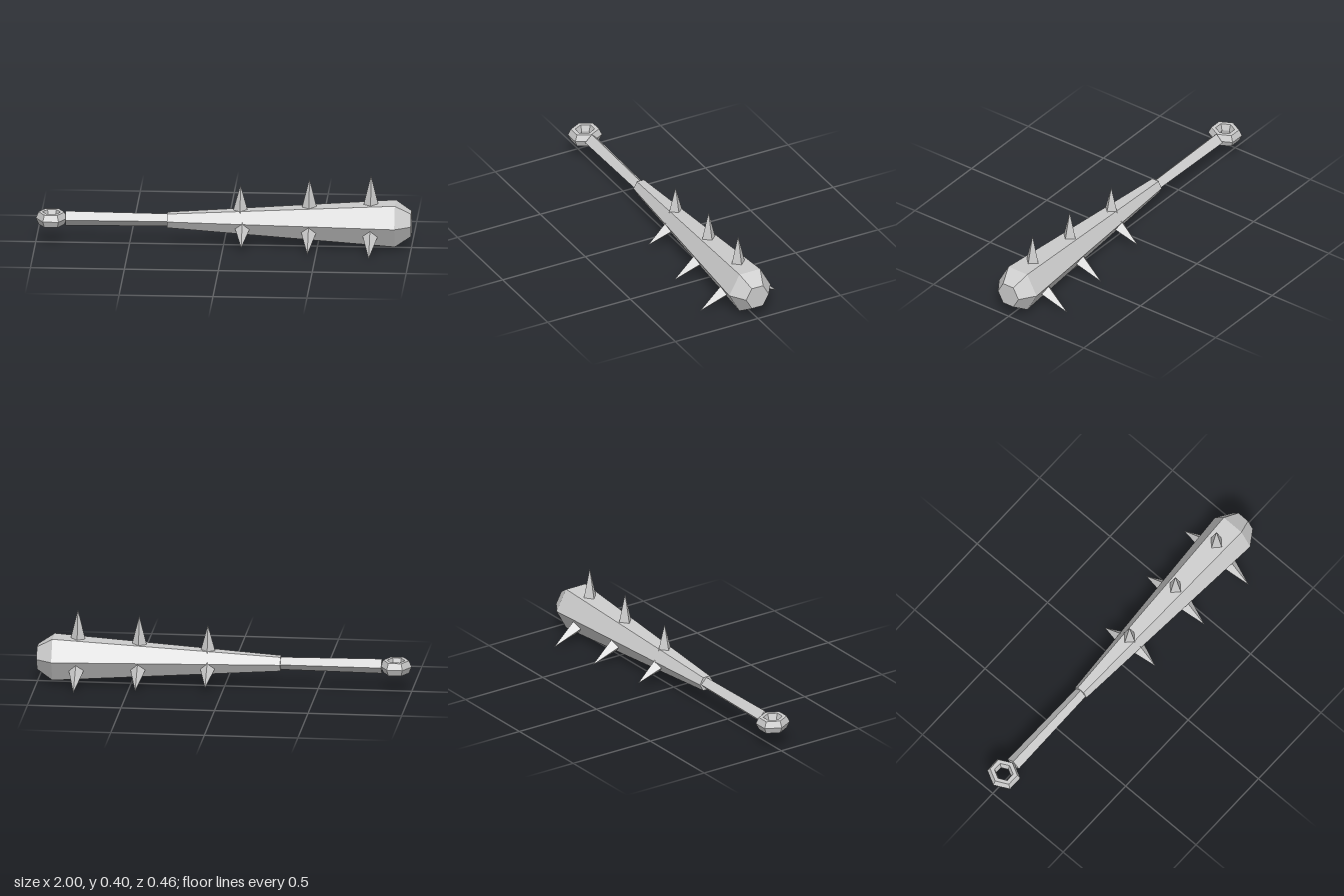
import * as THREE from 'three';

const AXIS_Y = 0.14, AXIS_Z = 0.003;

export function createModel() {
  const grey = new THREE.MeshStandardMaterial({ color: 0xcccccc, flatShading: true });
  grey.name = 'grey';

  const club = new THREE.Group();
  club.name = 'spikedClub';
  const add = (name, geometry, parent = club) => {
    const mesh = new THREE.Mesh(geometry, grey);
    mesh.name = name;
    parent.add(mesh);
    return mesh;
  };
  const points = (list) => list.map(([r, h]) => new THREE.Vector2(r, h));

  // Everything is laid out around the long axis, which runs along x
  const body = new THREE.Group();
  body.name = 'body';
  body.position.set(0, AXIS_Y, AXIS_Z);
  club.add(body);

  // Six-sided tapering head with a bevelled end
  const head = new THREE.LatheGeometry(
    points([[0, -0.3], [0.042, -0.3], [0.125, 0.915], [0.068, 1], [0, 1]]), 6);
  head.rotateZ(-Math.PI / 2);
  head.scale(1, 1.04, 1);
  add('head', head, body);

  // Four-sided handle
  const handle = new THREE.CylinderGeometry(0.034, 0.04, 0.55, 4);
  handle.rotateZ(-Math.PI / 2);
  handle.translate(-0.565, 0, 0);
  add('handle', handle, body);

  // Faceted ring at the end of the handle
  const ring = new THREE.LatheGeometry(points([
    [0.085, 0], [0.07, 0.034], [0.048, 0.034], [0.037, 0],
    [0.048, -0.034], [0.07, -0.034], [0.085, 0],
  ]), 6);
  ring.rotateY(Math.PI / 2);
  ring.scale(0.98, 1, 1.1);
  ring.translate(-0.916, 0, 0);
  add('ring', ring, body);

  // Three rows of four-sided spikes: top, front and back
  const rows = [
    { x: 0.09, base: 0.05, tip: 0.2 },
    { x: 0.457, base: 0.075, tip: 0.24 },
    { x: 0.785, base: 0.095, tip: 0.266 },
  ];
  const sides = ['top', 'front', 'back'];
  rows.forEach(({ x, base, tip }, row) => {
    sides.forEach((side, i) => {
      const spike = new THREE.ConeGeometry(0.041, tip - base, 4);
      spike.translate(0, (tip + base) / 2, 0);
      spike.rotateX((i * Math.PI * 2) / 3);
      // The first row is set slightly unevenly
      const shift = row === 0 ? [0, 0.013, -0.003][i] : 0;
      spike.translate(x + shift, 0, 0);
      add(`${side}Spike${row + 1}`, spike, body);
    });
  });

  return club;
}
